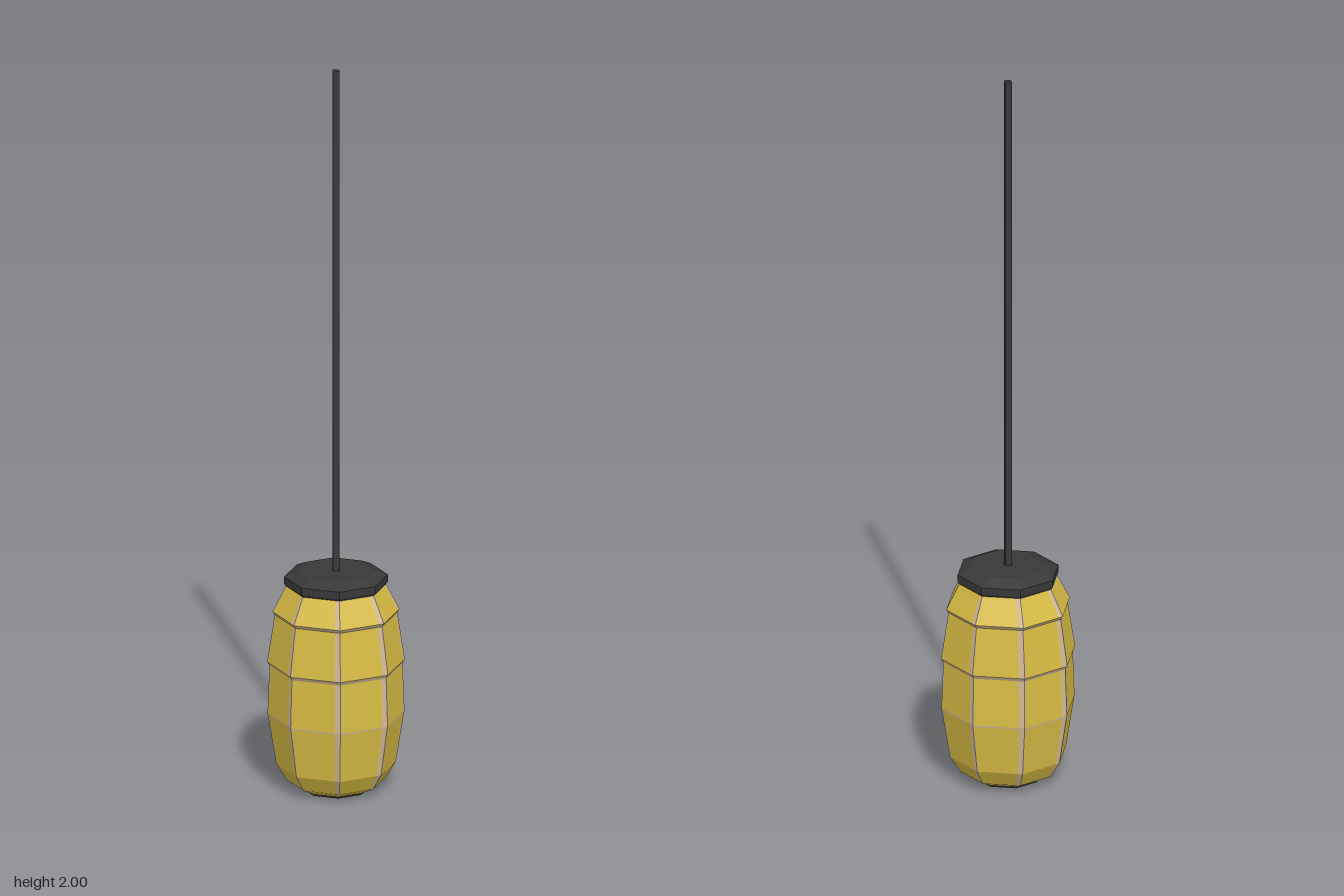
import * as THREE from 'three';

const SIDES = 8;
const EDGE = 0.12; // share of each facet taken by the pale rib

function material(color) {
  return new THREE.MeshStandardMaterial({ color, flatShading: true });
}

// Eight-sided bands between t0 and t1 of every facet, for each [r, y, r, y] row
function facetBands(rows, t0, t1) {
  const positions = [];
  const corner = (k, r, y) => {
    const a = -k * Math.PI * 2 / SIDES;
    return new THREE.Vector3(Math.sin(a) * r, y, Math.cos(a) * r);
  };
  for (const [r0, y0, r1, y1] of rows) {
    for (let k = 0; k < SIDES; k++) {
      const at = (t, r, y) => corner(k, r, y).lerp(corner(k + 1, r, y), t);
      const a = at(t1, r0, y0), b = at(t0, r0, y0);
      const c = at(t0, r1, y1), d = at(t1, r1, y1);
      for (const p of [a, b, c, a, c, d]) positions.push(p.x, p.y, p.z);
    }
  }
  const geometry = new THREE.BufferGeometry();
  geometry.setAttribute('position', new THREE.Float32BufferAttribute(positions, 3));
  geometry.computeVertexNormals();
  return geometry;
}

function lathe(points) {
  return new THREE.LatheGeometry(points.map(([r, y]) => new THREE.Vector2(r, y)), SIDES);
}

export function createModel() {
  const group = new THREE.Group();
  const yellow = material(0xd8bc44);
  const pale = material(0xd0b896);
  const dark = material(0x383838);
  const add = (name, geometry, mat) => {
    const mesh = new THREE.Mesh(geometry, mat);
    mesh.name = name;
    group.add(mesh);
    return mesh;
  };

  // Faceted lantern shade, in tiers that overhang one another
  const panels = [
    [0.09, 0.005, 0.13, 0.025],
    [0.13, 0.025, 0.158, 0.07],
    [0.158, 0.07, 0.18, 0.207],
    [0.181, 0.212, 0.176, 0.345],
    [0.182, 0.355, 0.162, 0.486],
    [0.168, 0.495, 0.13, 0.57],
  ];
  add('shadePanels', facetBands(panels, EDGE, 1), yellow);
  add('shadeRibs', facetBands(panels, 0, EDGE), pale);

  // Narrow ledges joining the tiers
  const ledges = [
    [0.18, 0.207, 0.181, 0.212],
    [0.176, 0.345, 0.182, 0.355],
    [0.162, 0.486, 0.168, 0.495],
  ];
  add('shadeLedges', facetBands(ledges, 0, 1), pale);

  // Dark base plate and bevelled top cap
  add('basePlate', lathe([[0, 0], [0.088, 0], [0.09, 0.005]]), dark);
  add('topCap', lathe([[0, 0.565], [0.132, 0.565], [0.137, 0.572], [0.137, 0.592], [0.1, 0.608], [0, 0.608]]), dark);

  // Square hanging cord
  add('cord', new THREE.BoxGeometry(0.018, 1.4, 0.018), dark).position.y = 1.3;

  return group;
}
